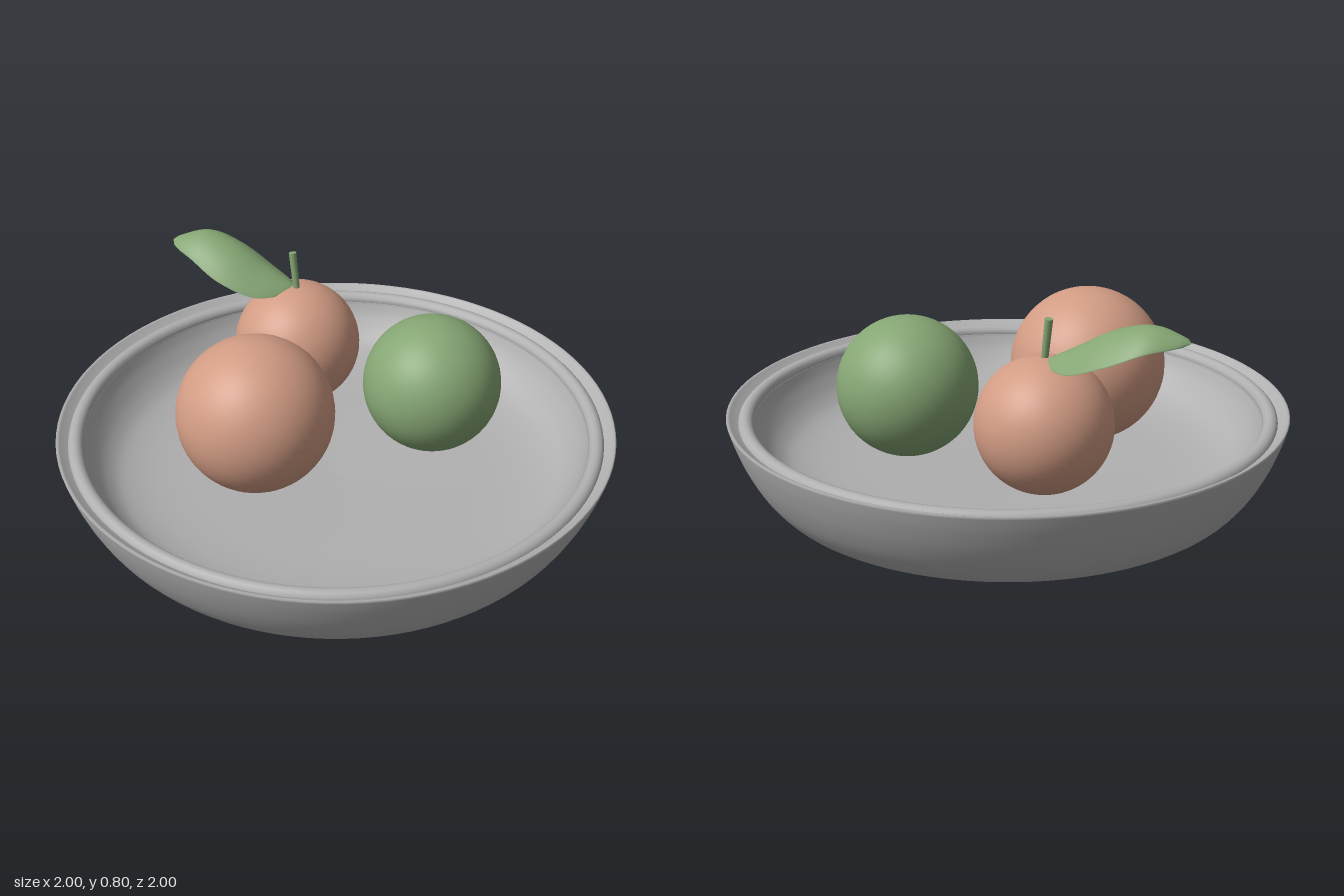
import * as THREE from 'three';

const material = (name, color) => {
  const m = new THREE.MeshStandardMaterial({ color });
  m.name = name;
  return m;
};

export function createModel() {
  const group = new THREE.Group();
  const grey = material('stoneGrey', 0xb0b0b0);
  const peach = material('peach', 0xd29c84);
  const green = material('leafGreen', 0x86a674);

  const add = (name, geometry, mat, position = [0, 0, 0], parent = group) => {
    const mesh = new THREE.Mesh(geometry, mat);
    mesh.name = name;
    mesh.position.set(...position);
    parent.add(mesh);
    return mesh;
  };

  // Smooth a few profile points into a lathe outline
  const smooth = (points, n) =>
    new THREE.SplineCurve(points.map(p => new THREE.Vector2(...p))).getPoints(n);

  // Bowl: outside from the foot up to the rim, then inside down to the floor
  const outside = smooth([[0, 0.035], [0.3, 0.018], [0.6, 0.006], [0.74, 0.008], [0.83, 0.035],
    [0.895, 0.1], [0.945, 0.185], [0.98, 0.27], [0.999, 0.333]], 40);
  const lip = [[0.994, 0.336], [0.985, 0.333], [0.962, 0.312], [0.93, 0.3], [0.905, 0.3]]
    .map(p => new THREE.Vector2(...p));
  const inside = smooth([[0.905, 0.295], [0.88, 0.245], [0.83, 0.185], [0.76, 0.145],
    [0.62, 0.12], [0.35, 0.108], [0, 0.092]], 30);
  inside[inside.length - 1].x = 0;
  add('bowl', new THREE.LatheGeometry([...outside, ...lip, ...inside], 96), grey);

  // Rounded bead running round the inside of the rim
  const bead = new THREE.TorusGeometry(0.932, 0.028, 12, 96);
  bead.rotateX(Math.PI / 2);
  add('rimBead', bead, grey, [0, 0.302, 0]);

  // Fruit
  const fruits = [
    ['largePeachFruit', 0.279, peach, [-0.298, 0.444, -0.08]],
    ['smallPeachFruit', 0.235, peach, [0.148, 0.41, -0.412]],
    ['greenFruit', 0.25, green, [0.333, 0.424, 0.142]],
  ];
  for (const [name, radius, mat, position] of fruits) {
    add(name, new THREE.SphereGeometry(radius, 48, 32), mat, position);
  }

  // Stem, leaning slightly back
  const stemPath = new THREE.LineCurve3(
    new THREE.Vector3(0.147, 0.62, -0.408), new THREE.Vector3(0.147, 0.78, -0.432));
  const stem = new THREE.CylinderGeometry(0.014, 0.012, stemPath.getLength(), 12);
  const direction = stemPath.getTangent(0);
  stem.applyQuaternion(new THREE.Quaternion().setFromUnitVectors(new THREE.Vector3(0, 1, 0), direction));
  add('stem', stem, green, stemPath.getPoint(0.5).toArray());

  // Leaf: a sphere stretched along an arched spine, thin, with drooping edges
  const spine = new THREE.CatmullRomCurve3([
    [0.15, 0.63, -0.418], [0.09, 0.69, -0.51], [0.025, 0.765, -0.63],
    [-0.03, 0.793, -0.74], [-0.105, 0.755, -0.838],
  ].map(p => new THREE.Vector3(...p)));
  const across = new THREE.Vector3(0.88, 0, -0.48);
  const leaf = new THREE.SphereGeometry(1, 32, 28);
  const pos = leaf.attributes.position;
  for (let i = 0; i < pos.count; i++) {
    const y = THREE.MathUtils.clamp(pos.getY(i), -1, 1);
    const t = Math.acos(-y) / Math.PI;
    const r = Math.max(Math.sqrt(1 - y * y), 1e-6);
    const s = pos.getX(i) / r;
    const u = pos.getZ(i) / r;
    const bulge = Math.max(Math.sin(Math.PI * t), 0);
    const p = spine.getPoint(t).addScaledVector(across, s * 0.135 * Math.pow(bulge, 0.65));
    p.y += 0.008 * u - 0.085 * s * s * bulge;
    pos.setXYZ(i, p.x, p.y, p.z);
  }
  leaf.computeVertexNormals();
  add('leaf', leaf, green);

  return group;
}
